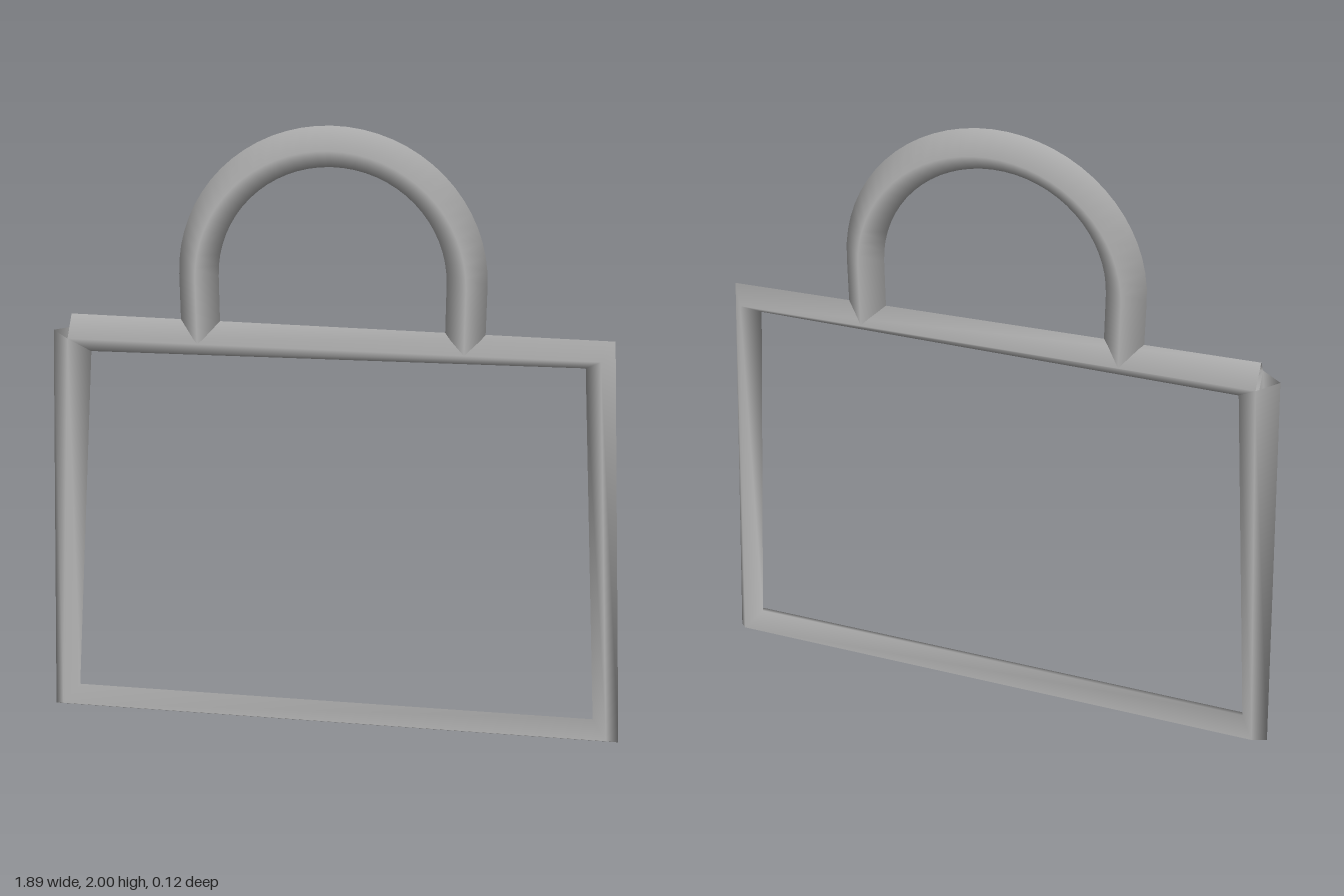
import * as THREE from 'three';

const RADIUS = 0.06;
const SIDES = 4;

// Sweeps a diamond section with smooth normals along an open path in the XY plane.
// Each ring stands across the averaged direction of its two neighbouring segments.
function sweep(points) {
  const positions = [], normals = [], indices = [];
  const last = points.length - 1;
  points.forEach((p, i) => {
    const tangent = new THREE.Vector2();
    if (i > 0) tangent.add(p.clone().sub(points[i - 1]).normalize());
    if (i < last) tangent.add(points[i + 1].clone().sub(p).normalize());
    tangent.normalize();
    for (let j = 0; j < SIDES; j++) {
      const a = (j / SIDES) * Math.PI * 2;
      const nx = -tangent.y * Math.cos(a), ny = tangent.x * Math.cos(a), nz = Math.sin(a);
      positions.push(p.x + nx * RADIUS, p.y + ny * RADIUS, nz * RADIUS);
      normals.push(nx, ny, nz);
      if (i < last) {
        const k = (j + 1) % SIDES;
        const a0 = i * SIDES + j, a1 = i * SIDES + k;
        const b0 = a0 + SIDES, b1 = a1 + SIDES;
        indices.push(a0, a1, b0, b0, a1, b1);
      }
    }
  });
  const geometry = new THREE.BufferGeometry();
  geometry.setAttribute('position', new THREE.Float32BufferAttribute(positions, 3));
  geometry.setAttribute('normal', new THREE.Float32BufferAttribute(normals, 3));
  geometry.setIndex(indices);
  return geometry;
}

export function createModel() {
  const group = new THREE.Group();
  group.name = 'bagOutline';
  const grey = new THREE.MeshStandardMaterial({ color: 0xb4b4b4, side: THREE.DoubleSide });
  grey.name = 'grey';

  const addTube = (name, points) => {
    const mesh = new THREE.Mesh(sweep(points), grey);
    mesh.name = name;
    group.add(mesh);
  };

  // Tapered frame: one run of tube whose open ends meet at the upper corner
  addTube('frame', [[-0.8, 1.342], [0.8, 1.342], [0.9, 0.042], [-0.9, 0.042], [-0.8, 1.342]]
    .map(([x, y]) => new THREE.Vector2(x, y)));

  // Handle: two straight legs joined by a half circle
  const handle = [new THREE.Vector2(-0.4, 1.342)];
  const steps = 32;
  for (let i = 0; i <= steps; i++) {
    const a = Math.PI * (1 - i / steps);
    handle.push(new THREE.Vector2(0.4 * Math.cos(a), 1.54 + 0.4 * Math.sin(a)));
  }
  handle.push(new THREE.Vector2(0.4, 1.342));
  addTube('handle', handle);

  return group;
}
